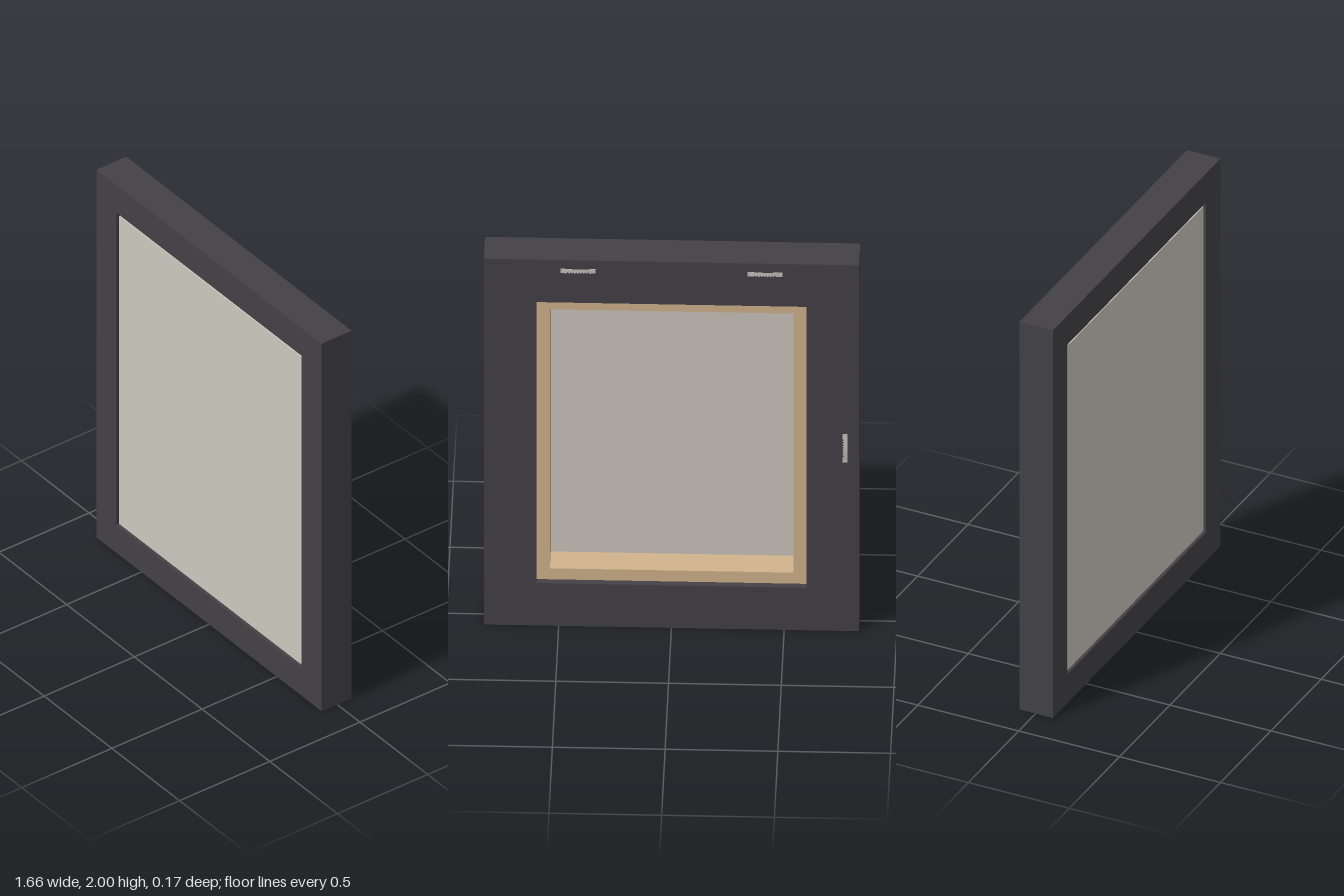
import * as THREE from 'three';

const BACK = -0.08, FRONT = 0.086, LEDGE = -0.05, CANVAS = 0.081;

const mat = (name, color, side = THREE.FrontSide) => {
  const m = new THREE.MeshStandardMaterial({ color, side });
  m.name = name;
  return m;
};

// Rectangular ring: outer and inner half sizes, extruded from z0 to z1
function ring(name, material, [ow, oh], [iw, ih], z0, z1) {
  const rect = (P, w, h) => new P([[-w, -h], [w, -h], [w, h], [-w, h]].map(([x, y]) => new THREE.Vector2(x, y)));
  const shape = rect(THREE.Shape, ow, oh);
  shape.holes.push(rect(THREE.Path, iw, ih));
  const geo = new THREE.ExtrudeGeometry(shape, { depth: z1 - z0, bevelEnabled: false });
  geo.translate(0, 1, z0);
  const mesh = new THREE.Mesh(geo, material);
  mesh.name = name;
  return mesh;
}

// Bowed metal strip with a toothed lower edge and two nail heads
function sawtoothHanger(name, metal) {
  const w = 0.155, h = 0.024, steps = 24;
  const geo = new THREE.BoxGeometry(w, h, 0.0015, steps, 1, 1);
  const p = geo.attributes.position;
  for (let i = 0; i < p.count; i++) {
    const x = p.getX(i);
    const step = Math.round((x / w + 0.5) * steps);
    if (p.getY(i) < 0 && step % 2 && step > 3 && step < steps - 3) p.setY(i, -h / 2 + 0.008);
    const t = Math.min(1, Math.abs(x) / (w * 0.42));
    p.setZ(i, p.getZ(i) - 0.0008 - 0.005 * (1 - t * t));
  }
  geo.computeVertexNormals();
  const group = new THREE.Group();
  group.name = name;
  const strip = new THREE.Mesh(geo, metal);
  strip.name = 'toothedStrip';
  group.add(strip);
  for (const s of [-1, 1]) {
    const nail = new THREE.Mesh(new THREE.CylinderGeometry(0.004, 0.004, 0.003, 10), metal);
    nail.name = 'nailHead';
    nail.rotation.x = Math.PI / 2;
    nail.position.set(s * w * 0.46, 0, -0.002);
    group.add(nail);
  }
  return group;
}

export function createModel() {
  const model = new THREE.Group();
  model.name = 'framedCanvas';
  const dark = mat('charcoal frame', 0x434146);
  const wood = mat('pale wood', 0xd2b48c);
  const cloth = mat('canvas cloth', 0xccc8be);
  const metal = mat('hanger metal', 0xc4c2bc);

  // Floating frame: deep outer wall plus a ledge at the back
  model.add(ring('frameWall', dark, [0.832, 1], [0.685, 0.85], BACK, FRONT));
  model.add(ring('frameLedge', dark, [0.685, 0.85], [0.6, 0.768], BACK, LEDGE));

  // Wooden stretcher bars standing on the ledge
  model.add(ring('stretcherBars', wood, [0.668, 0.834], [0.54, 0.708], LEDGE, CANVAS - 0.003));

  // Canvas wrapped round the stretcher: sides and painted face
  model.add(ring('canvasSides', cloth, [0.671, 0.837], [0.668, 0.834], LEDGE, CANVAS - 0.003));
  const face = new THREE.Mesh(new THREE.BoxGeometry(1.342, 1.674, 0.003), cloth);
  face.name = 'canvasFace';
  face.position.set(0, 1, CANVAS - 0.0015);
  model.add(face);

  // Two hangers along the top rail and one on the side rail
  for (const s of [-1, 1]) {
    const hanger = sawtoothHanger(s > 0 ? 'leftTopHanger' : 'rightTopHanger', metal);
    hanger.position.set(s * 0.415, 1.942, BACK);
    model.add(hanger);
  }
  const side = sawtoothHanger('sideHanger', metal);
  side.rotation.z = Math.PI / 2;
  side.position.set(-0.77, 1, BACK);
  model.add(side);

  return model;
}
